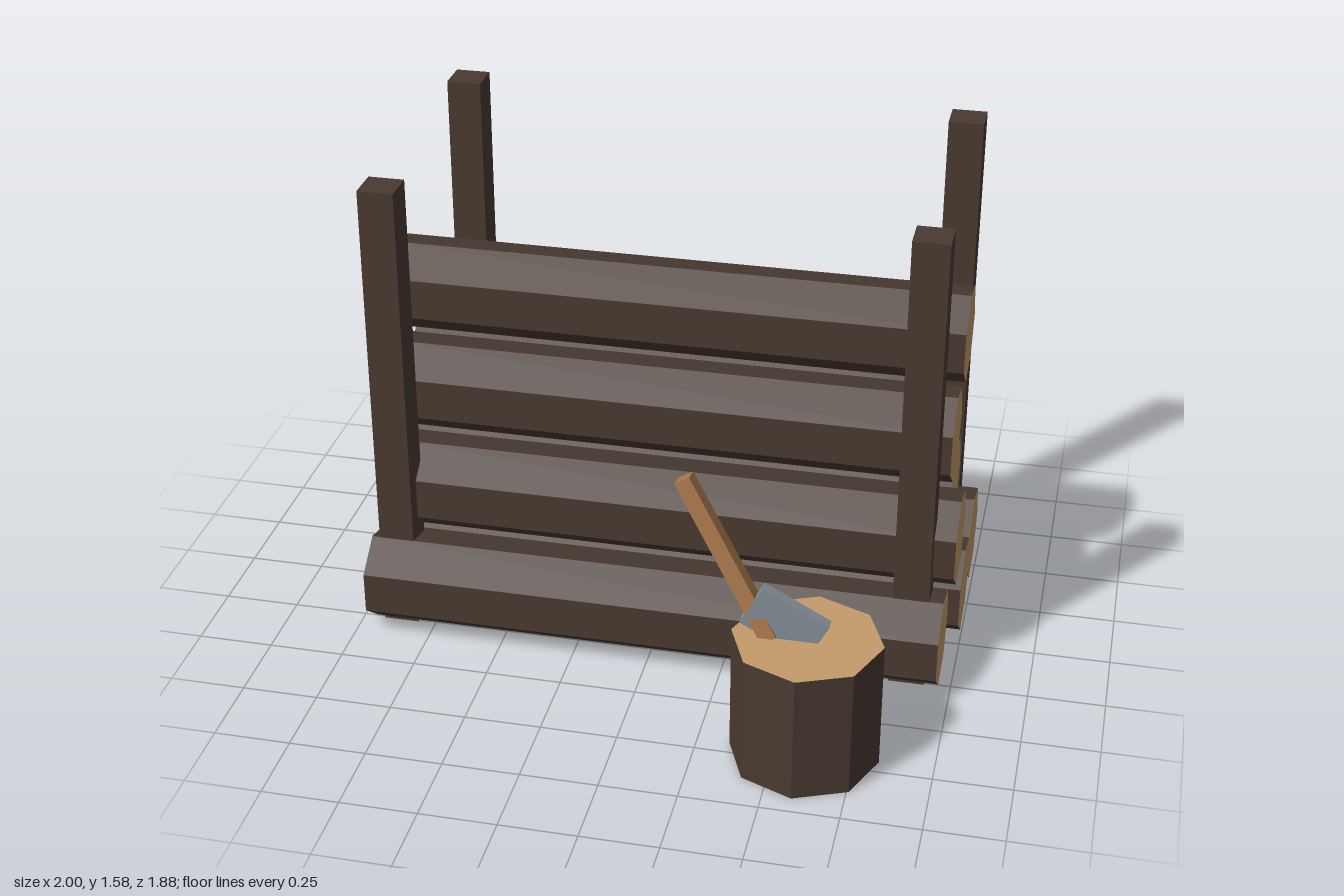
import * as THREE from 'three';

const mat = (name, color) => {
  const m = new THREE.MeshStandardMaterial({ color });
  m.name = name;
  return m;
};

// Faceted cylinder: separate corners give every side a flat normal
function facetedCylinder(radius, length, sides, thetaStart = 0) {
  const g = new THREE.CylinderGeometry(radius, radius, length, sides, 1, false, thetaStart).toNonIndexed();
  g.computeVertexNormals();
  return g;
}

export function createModel() {
  const bark = mat('bark', 0x493a32);
  const cutWood = mat('cutWood', 0xc49c6b);
  const handleWood = mat('handleWood', 0xa8774b);
  const steel = mat('steel', 0x848e99);
  const barkAndCuts = [bark, cutWood, cutWood];

  const model = new THREE.Group();
  model.name = 'firewoodRack';

  const add = (parent, name, geometry, material, x, y, z) => {
    const mesh = new THREE.Mesh(geometry, material);
    mesh.name = name;
    mesh.position.set(x, y, z);
    parent.add(mesh);
    return mesh;
  };

  // Log pile: each row is given front to back as [left end, right end] in x
  const rows = [
    [[-0.955, 0.96], [-0.93, 0.995], [-0.92, 0.99], [-0.98, 0.88]],
    [[-0.915, 0.983], [-0.92, 0.93], [-0.915, 0.9]],
    [[-0.955, 0.937], [-0.96, 0.85]],
    [[-1.0, 0.945]],
  ];
  const pile = new THREE.Group();
  pile.name = 'logPile';
  model.add(pile);
  rows.forEach((row, r) => row.forEach(([x0, x1], i) => {
    const log = facetedCylinder(0.161, x1 - x0, 7, Math.PI).rotateZ(Math.PI / 2);
    add(pile, 'log', log, barkAndCuts,
      (x0 + x1) / 2, 0.165 + 0.285 * r, 0.222 - 0.333 * (i + r / 2));
  }));

  // Four corner posts
  const postGeometry = new THREE.BoxGeometry(0.117, 1.58, 0.117);
  for (const x of [-0.87, 0.855])
    for (const z of [0.2, -0.76]) add(model, 'post', postGeometry, bark, x, 0.79, z);

  // Chopping block
  add(model, 'choppingBlock', facetedCylinder(0.237, 0.43, 8), barkAndCuts, 0.59, 0.215, 0.7);

  // Axe, its blade sunk into the block
  const axe = new THREE.Group();
  axe.name = 'axe';
  model.add(axe);
  const top = new THREE.Vector3(0.188, 0.908, 0.632);
  const bottom = new THREE.Vector3(0.475, 0.42, 0.705);
  const mid = top.clone().add(bottom).multiplyScalar(0.5);
  const along = top.clone().sub(bottom);
  const handle = add(axe, 'axeHandle', new THREE.BoxGeometry(0.053, along.length(), 0.053),
    handleWood, mid.x, mid.y, mid.z);
  handle.quaternion.setFromUnitVectors(new THREE.Vector3(0, 1, 0), along.normalize());
  const head = add(axe, 'axeHead', new THREE.BoxGeometry(0.235, 0.145, 0.042), steel, 0.52, 0.481, 0.7);
  head.rotation.z = -0.489;

  return model;
}
